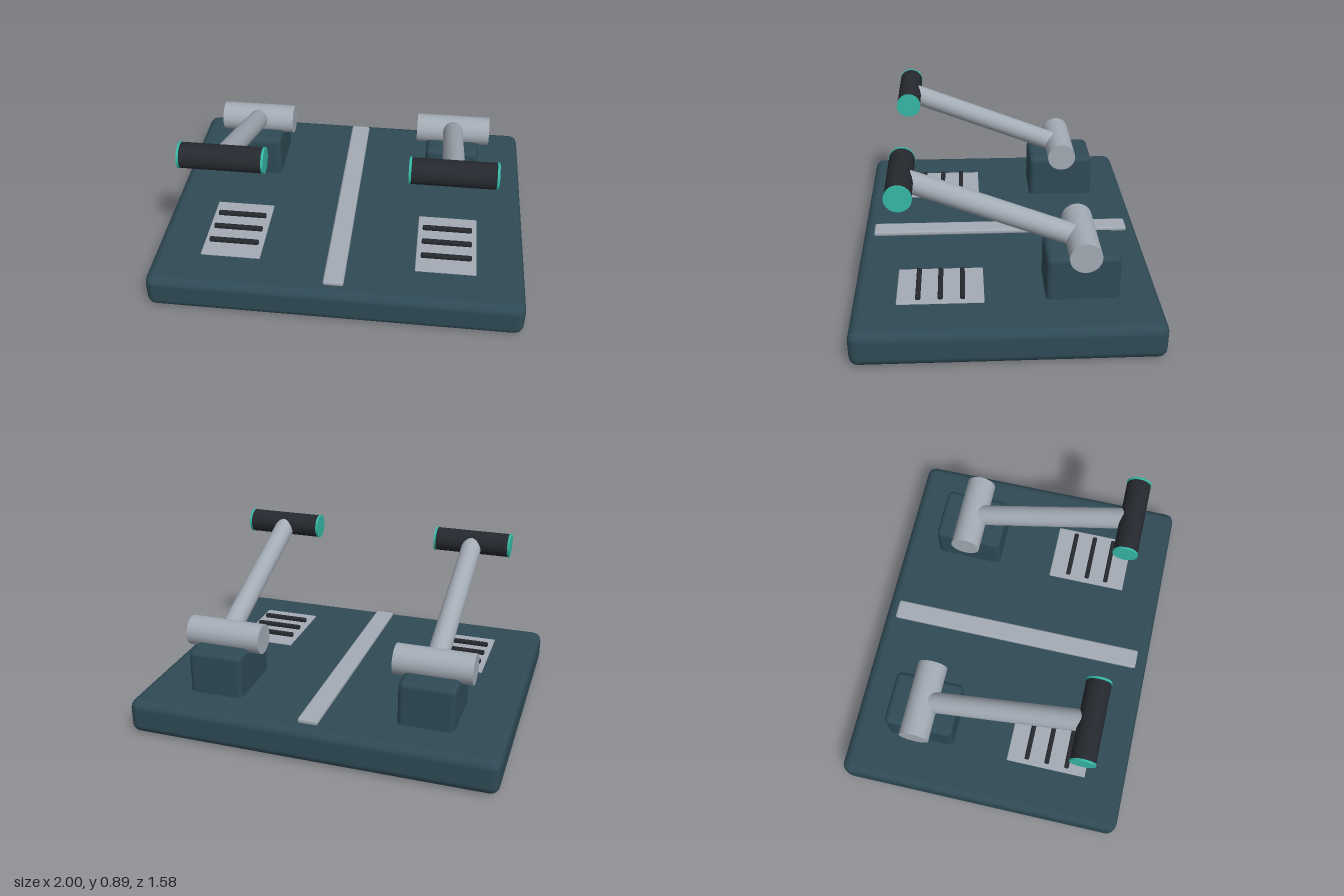
import * as THREE from 'three';
import { RoundedBoxGeometry } from 'three/addons/geometries/RoundedBoxGeometry.js';

const paint = (color) => new THREE.MeshStandardMaterial({ color });

export function createModel() {
  const model = new THREE.Group();
  model.name = 'leverPlatform';
  const slate = paint(0x2f4a55);
  const metal = paint(0xa3abb5);
  const rubber = paint(0x25282e);
  const teal = paint(0x35b8a6);

  const add = (parent, name, geometry, material, x, y, z) => {
    const mesh = new THREE.Mesh(geometry, material);
    mesh.name = name;
    mesh.position.set(x, y, z);
    parent.add(mesh);
    return mesh;
  };
  // Cylinder lying along x
  const barX = (radius, length) =>
    new THREE.CylinderGeometry(radius, radius, length, 32).rotateZ(Math.PI / 2);

  // Platform and the raised strip down its middle
  add(model, 'base', new RoundedBoxGeometry(2, 0.194, 1.58, 2, 0.05), slate, 0, 0.097, 0);
  add(model, 'centreStrip', new RoundedBoxGeometry(0.11, 0.03, 1.45, 1, 0.012), metal, 0, 0.207, 0);

  const hingeAt = new THREE.Vector3(0, 0.47, -0.388);
  const gripAt = new THREE.Vector3(0, 0.826, 0.518);

  for (const side of [1, -1]) {
    const unit = new THREE.Group();
    unit.name = side > 0 ? 'leftLever' : 'rightLever';
    unit.position.x = side * 0.58;
    model.add(unit);

    // Pedestal with the hinge barrel on top
    add(unit, 'pedestal', new RoundedBoxGeometry(0.3, 0.27, 0.38, 2, 0.03), slate, 0, 0.3, -0.39);
    add(unit, 'hingeBarrel', barX(0.082, 0.42), metal, 0, hingeAt.y, hingeAt.z);

    // Sloping arm from the hinge to the grip
    const along = gripAt.clone().sub(hingeAt);
    const middle = hingeAt.clone().lerp(gripAt, 0.5);
    const arm = add(unit, 'arm', new THREE.CylinderGeometry(0.057, 0.057, along.length(), 32),
      metal, 0, middle.y, middle.z);
    arm.quaternion.setFromUnitVectors(new THREE.Vector3(0, 1, 0), along.normalize());

    // Grip with a coloured cap at each end
    add(unit, 'grip', barX(0.066, 0.42), rubber, 0, gripAt.y, gripAt.z);
    for (const end of [1, -1]) {
      add(unit, 'gripCap', barX(0.068, 0.012), teal, end * 0.214, gripAt.y, gripAt.z);
    }

    // Foot plate with three tread bars
    add(unit, 'footPlate', new RoundedBoxGeometry(0.326, 0.02, 0.45, 1, 0.005), metal, 0, 0.191, 0.338);
    for (let i = -1; i <= 1; i++) {
      add(unit, 'treadBar', new RoundedBoxGeometry(0.274, 0.026, 0.026, 2, 0.008), rubber,
        0, 0.212, 0.338 + i * 0.114);
    }
  }
  return model;
}
